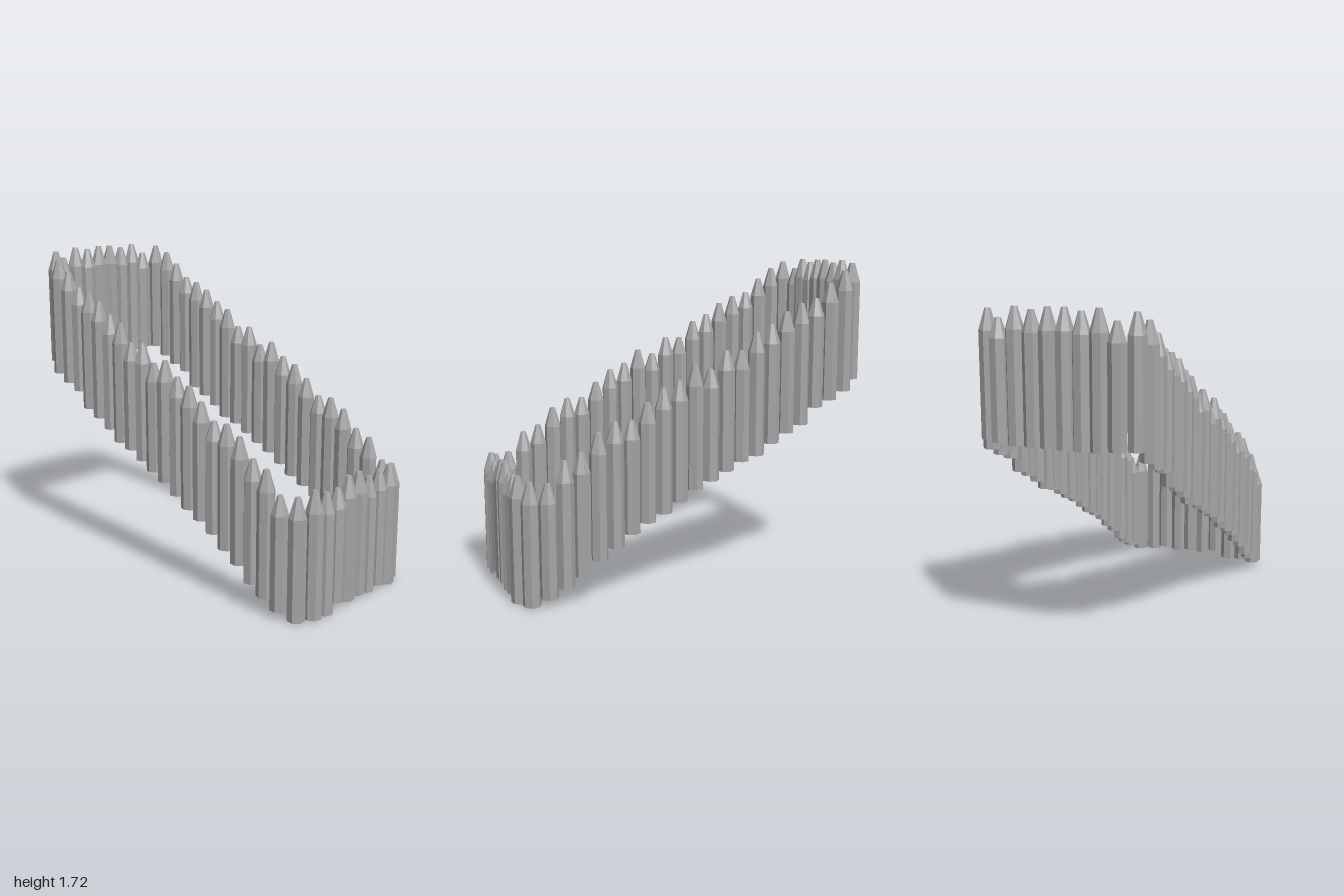
import * as THREE from 'three';

const SIDES = 7, RADIUS = 0.047, TIP = 0.015;

// One sharpened stake: prism body, tapered point, flat tip
function makePost(material, x, z, bottom, top, turn) {
  const shoulder = top - (top - bottom) * 0.165;
  const profile = [[0, bottom], [RADIUS, bottom], [RADIUS, shoulder], [TIP, top], [0, top]]
    .map(([r, y]) => new THREE.Vector2(r, y));
  const post = new THREE.Mesh(new THREE.LatheGeometry(profile, SIDES), material);
  post.position.set(x, 0, z);
  post.rotation.y = turn;
  post.name = 'post';
  return post;
}

export function createModel() {
  const model = new THREE.Group();
  model.name = 'palisade';
  const wood = new THREE.MeshStandardMaterial({ color: 0xa6a6a6, flatShading: true });
  wood.name = 'grey timber';

  const addWall = (name, posts) => {
    const wall = new THREE.Group();
    wall.name = name;
    posts.forEach(([x, z, bottom, top], i) =>
      wall.add(makePost(wood, x, z, bottom, top, i * 2.4 + x)));
    model.add(wall);
  };

  // End walls, including the corner posts set slightly inward: [bottom, top] from -x to +x
  const rowX = [-0.39, -0.31, -0.22, -0.13, -0.043, 0.043, 0.13, 0.22, 0.31, 0.39];
  const front = [[0.005, 0.635], [0.005, 0.66], [0, 0.63], [0.04, 0.63], [0.02, 0.675],
    [0.025, 0.68], [0.015, 0.635], [0.025, 0.65], [0.005, 0.66], [0.005, 0.64]];
  const back = [[1.07, 1.705], [1.07, 1.665], [1.06, 1.72], [1.06, 1.705], [1.06, 1.72],
    [1.06, 1.72], [1.06, 1.705], [1.06, 1.72], [1.07, 1.665], [1.07, 1.705]];
  const corner = (i) => (i === 0 || i === 9 ? 0.04 : 0);
  addWall('frontWall', front.map(([b, t], i) => [rowX[i], 0.953 - corner(i), b, t]));
  addWall('backWall', back.map(([b, t], i) => [rowX[i], -0.955 + corner(i), b, t]));

  // Side walls climbing from front to back
  const side = [[0.045, 0.635], [0.09, 0.745], [0.14, 0.78], [0.215, 0.875], [0.27, 0.925],
    [0.335, 0.925], [0.385, 1.01], [0.425, 1.08], [0.48, 1.115], [0.535, 1.19],
    [0.575, 1.165], [0.62, 1.26], [0.665, 1.255], [0.69, 1.35], [0.75, 1.39],
    [0.80, 1.455], [0.84, 1.495], [0.93, 1.52], [0.965, 1.60], [1.01, 1.665]];
  for (const s of [-1, 1]) {
    addWall(s > 0 ? 'leftWall' : 'rightWall',
      side.map(([b, t], i) => [s * 0.423, 0.83 - i * 0.0884, b, t]));
  }
  return model;
}
